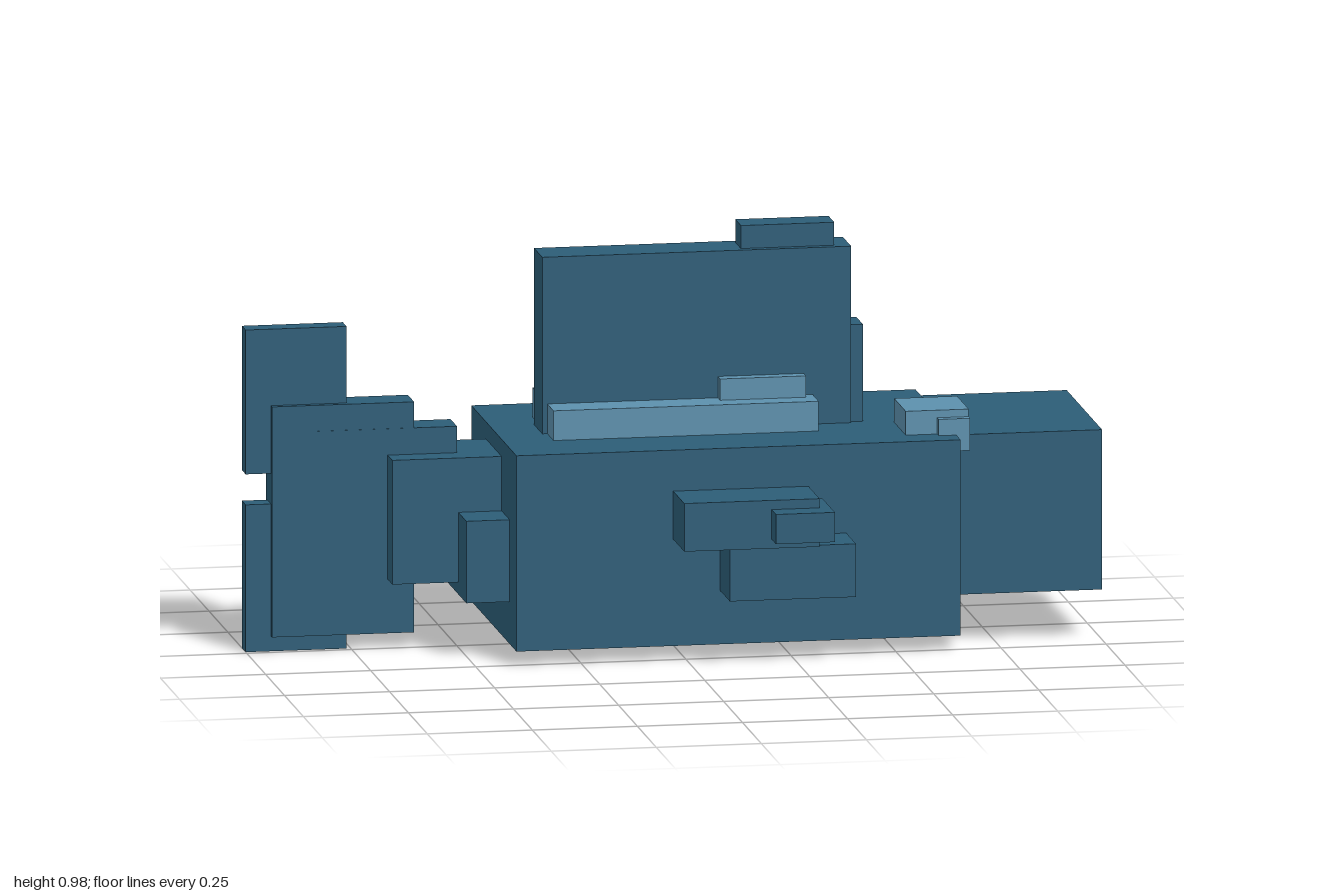
import * as THREE from 'three';

const deepBlue = new THREE.MeshStandardMaterial({ color: 0x2c5d77, name: 'deepBlue' });
const paleBlue = new THREE.MeshStandardMaterial({ color: 0x5c90ad, name: 'paleBlue' });

export function createModel() {
  const model = new THREE.Group();
  model.name = 'blockFish';

  // Box given by its extents along x, y and z
  function block(parent, name, material, [x0, x1], [y0, y1], [z0, z1]) {
    const mesh = new THREE.Mesh(new THREE.BoxGeometry(x1 - x0, y1 - y0, z1 - z0), material);
    mesh.position.set((x0 + x1) / 2, (y0 + y1) / 2, (z0 + z1) / 2);
    mesh.name = name;
    parent.add(mesh);
  }
  function part(name) {
    const group = new THREE.Group();
    group.name = name;
    model.add(group);
    return group;
  }

  // Body and head
  block(model, 'body', deepBlue, [-0.405, 0.652], [0.035, 0.503], [-0.338, 0.26]);
  block(model, 'head', deepBlue, [0.6, 1], [0.12, 0.502], [-0.272, 0.197]);

  // Fin on the back
  const dorsal = part('dorsalFin');
  block(dorsal, 'finBlade', deepBlue, [-0.3, 0.435], [0.48, 0.925], [-0.092, 0.018]);
  block(dorsal, 'finTip', deepBlue, [0.176, 0.398], [0.9, 0.98], [-0.075, 0]);
  block(dorsal, 'finFrontEdge', deepBlue, [0.4, 0.465], [0.48, 0.735], [-0.081, 0.006]);

  // Pale ridge around the fin base
  const ridge = part('backRidge');
  block(ridge, 'ridgeBase', paleBlue, [-0.288, 0.343], [0.48, 0.574], [-0.178, 0.1]);
  block(ridge, 'ridgeStep', paleBlue, [0.118, 0.322], [0.54, 0.625], [-0.127, 0.048]);

  // Pale mark over the eye
  const brow = part('brow');
  block(brow, 'browTop', paleBlue, [0.535, 0.685], [0.48, 0.56], [0.03, 0.184]);
  block(brow, 'browSide', paleBlue, [0.61, 0.685], [0.465, 0.542], [0.13, 0.204]);

  // Side fins
  for (const [name, side] of [['leftSideFin', [0.24, 0.388]], ['rightSideFin', [-0.464, -0.32]]]) {
    block(model, name, deepBlue, [0.08, 0.38], [0.163, 0.29], side);
  }
  const upperFin = part('upperSideFin');
  block(upperFin, 'upperFinBase', deepBlue, [-0.032, 0.29], [0.29, 0.405], [0.24, 0.407]);
  block(upperFin, 'upperFinTip', deepBlue, [0.176, 0.316], [0.312, 0.383], [0.3, 0.465]);

  // Tail, narrowing in steps to a forked end
  const tail = part('tail');
  block(tail, 'tailRoot', deepBlue, [-0.508, -0.39], [0.136, 0.332], [-0.25, 0.17]);
  block(tail, 'tailStem', deepBlue, [-0.665, -0.39], [0.165, 0.462], [-0.145, 0.064]);
  block(tail, 'tailBridge', deepBlue, [-0.84, -0.5], [0.245, 0.525], [-0.083, 0.002]);
  block(tail, 'tailBlade', deepBlue, [-0.94, -0.602], [0.036, 0.587], [-0.082, 0.001]);
  for (const [name, height] of [['upperTailLobe', [0.425, 0.77]], ['lowerTailLobe', [0, 0.352]]]) {
    block(tail, name, deepBlue, [-1, -0.76], height, [-0.064, -0.014]);
  }
  return model;
}
